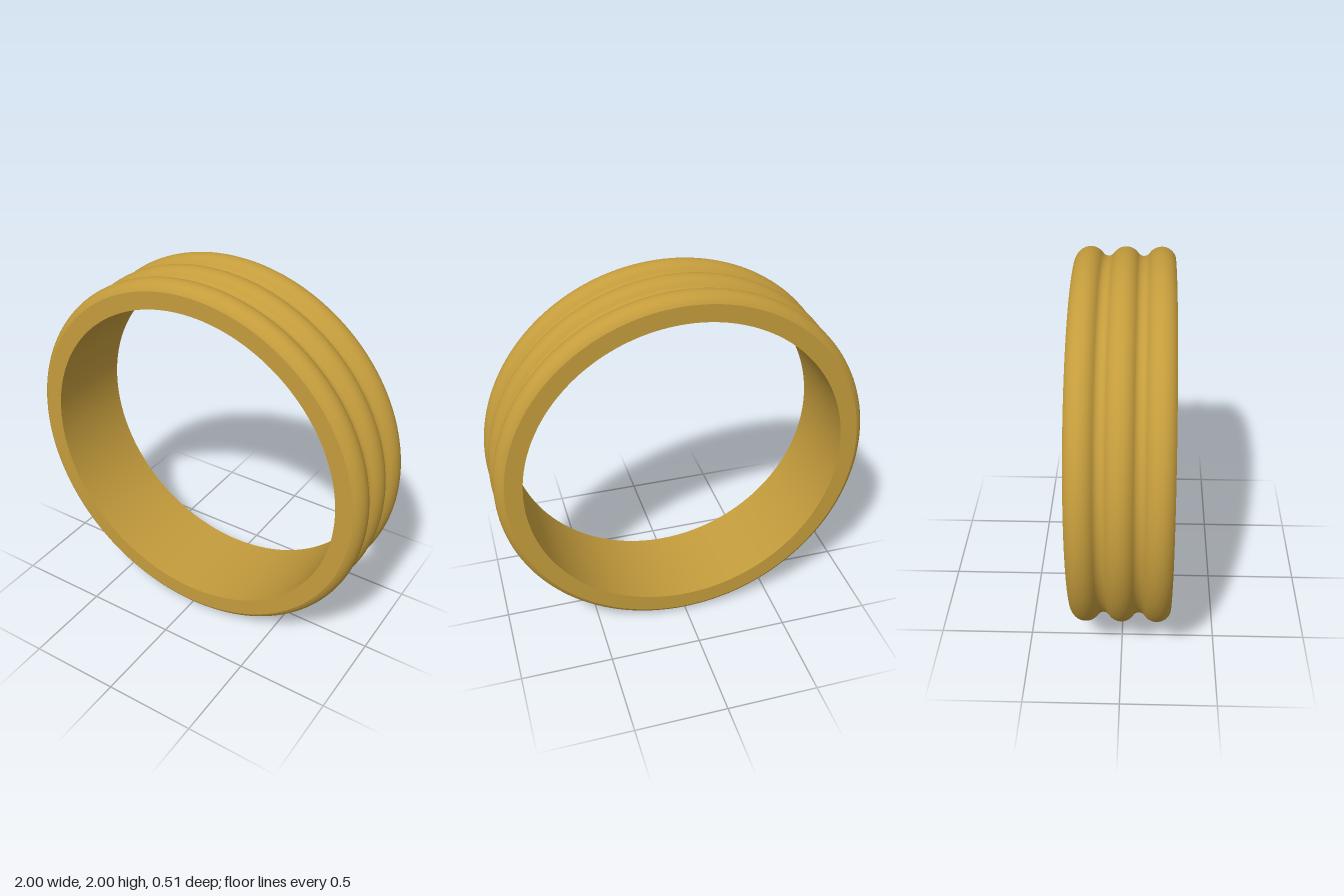
import * as THREE from 'three';

const OUTER = 1, INNER = 0.862, HALF = 0.255;
const PITCH = 0.185, RIB = 0.077, SEGMENTS = 160;

// Outer cross-section: three round ribs blended by concave grooves, from back to front
function outerProfile() {
  const blend = THREE.MathUtils.degToRad(55);
  const end = Math.asin((HALF - PITCH) / RIB);
  const ribCentre = OUTER - RIB;
  const groove = (PITCH / 2) / Math.sin(blend) - RIB;
  const grooveCentre = ribCentre + (RIB + groove) * Math.cos(blend);
  const points = [];
  const arc = (r, z, radius, from, to, sign, skip) => {
    const n = 14;
    for (let i = skip; i <= n; i++) {
      const a = from + (to - from) * i / n;
      points.push(new THREE.Vector2(r + sign * radius * Math.cos(a), z + radius * Math.sin(a)));
    }
  };
  for (let k = -1; k <= 1; k++) {
    arc(ribCentre, k * PITCH, RIB, k === -1 ? -end : -blend, k === 1 ? end : blend, 1, k === -1 ? 0 : 1);
    if (k < 1) arc(grooveCentre, (k + 0.5) * PITCH, groove, -blend, blend, -1, 1);
  }
  return points;
}

export function createModel() {
  const group = new THREE.Group();
  group.name = 'ring';
  const material = new THREE.MeshStandardMaterial({ color: 0xc49c3c });

  // Separate lathes keep the rims between surfaces sharp
  const addLathe = (name, points) => {
    const geometry = new THREE.LatheGeometry(points, SEGMENTS);
    geometry.rotateX(Math.PI / 2);
    const mesh = new THREE.Mesh(geometry, material);
    mesh.name = name;
    mesh.position.y = OUTER;
    group.add(mesh);
  };

  const profile = outerProfile();
  const rim = profile[0].x;
  const p = (r, z) => new THREE.Vector2(r, z);
  addLathe('ribbedOuterBand', profile);
  addLathe('frontFace', [p(rim, HALF), p(INNER, HALF)]);
  addLathe('innerBore', [p(INNER, HALF), p(INNER, -HALF)]);
  addLathe('backFace', [p(INNER, -HALF), p(rim, -HALF)]);

  return group;
}
